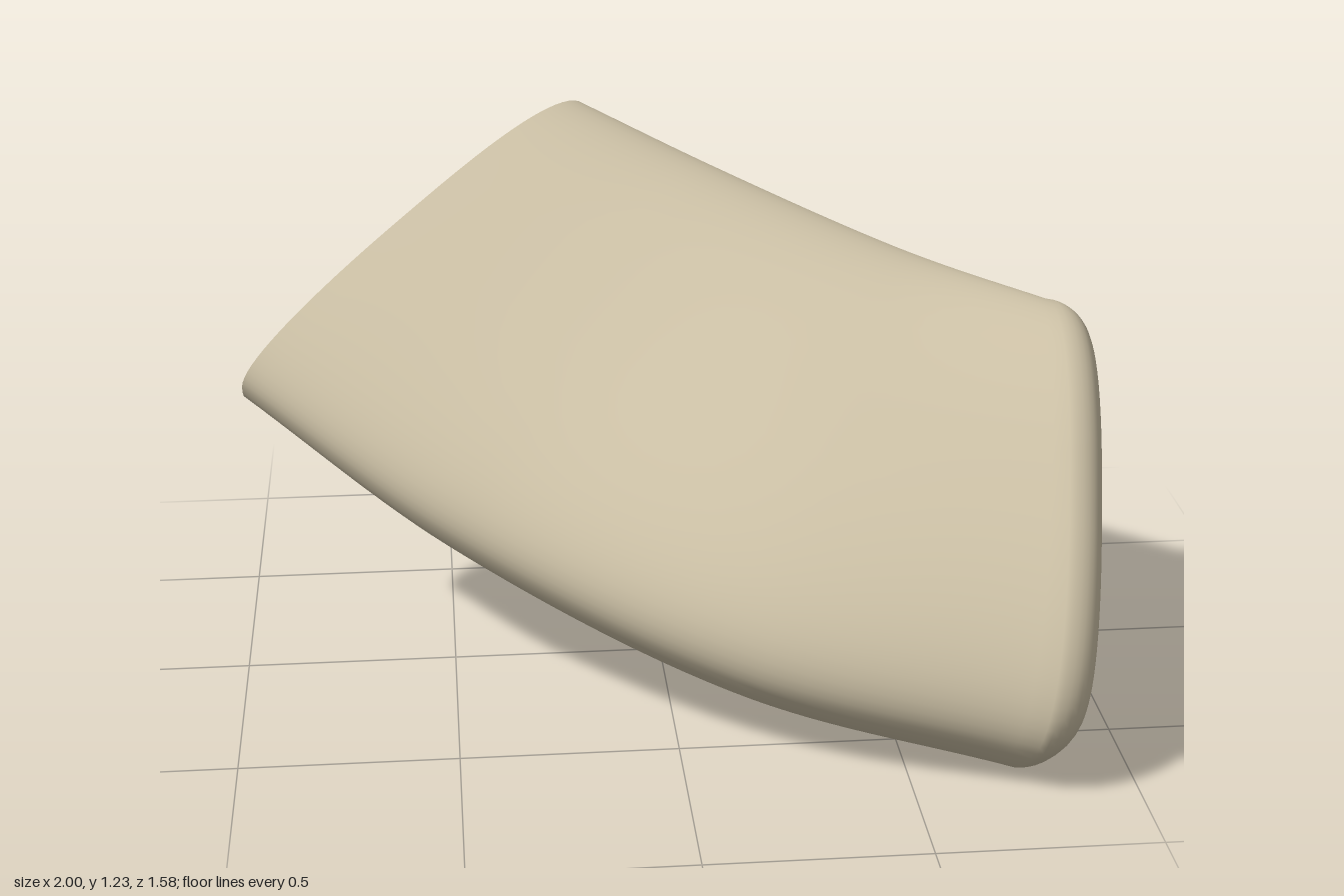
import * as THREE from 'three';

const V = (x, y, z) => new THREE.Vector3(x, y, z);
const SIDES = 72;

// Stations from the hollow end to the closed end: lower edge, upper edge, half thickness
const lowerEdge = new THREE.CatmullRomCurve3([
  V(-0.99, 0.635, -0.21), V(-0.5, 0.37, 0.13), V(0.15, 0.16, 0.53), V(0.75, 0.06, 0.735)]);
const upperEdge = new THREE.CatmullRomCurve3([
  V(-0.12, 1.15, -0.71), V(0.2, 1.02, -0.55), V(0.6, 0.88, -0.33), V(0.9, 0.82, -0.12)]);
const thickness = new THREE.CatmullRomCurve3([
  V(-0.01, 0.16, 0.135), V(-0.01, 0.18, 0.165), V(0, 0.19, 0.19), V(0, 0.18, 0.18)]);

function station(s) {
  const a = lowerEdge.getPoint(s), b = upperEdge.getPoint(s), t = thickness.getPoint(s);
  const w = b.clone().sub(a).multiplyScalar(0.5);
  return {
    c: a.add(b).multiplyScalar(0.5), w, t, s,
    axis: w.clone().cross(t).normalize(),
    taper: 0.22 - 0.14 * s,
  };
}

// Rounded cross-section, thicker toward the upper edge
function ring(st, scaleW = 1, scaleT = 1, shift = 0, lift = 0) {
  const pts = [];
  const pow = (v) => Math.sign(v) * Math.abs(v) ** 0.78;
  for (let j = 0; j < SIDES; j++) {
    const q = (j / SIDES) * Math.PI * 2;
    const u = pow(Math.cos(q)), v = pow(Math.sin(q)) * (1 + st.taper * u);
    // small ragged tear on the rim by the upper corner
    const d = Math.atan2(Math.sin(q + 0.35), Math.cos(q + 0.35));
    const tear = 0.025 * Math.sin(d * 14) * Math.exp(-d * d * 8 - st.s * 30);
    // rim reaches further out at the lower back corner
    const reach = 0.06 * Math.max(0, -Math.sin(q)) * Math.exp(-(((u + 0.75) / 0.3) ** 2) - st.s * 8);
    // closed end leans forward
    const lean = 0.05 * st.s ** 3 * v * scaleT;
    pts.push(st.c.clone().addScaledVector(st.w, u * scaleW)
      .addScaledVector(st.t, v * scaleT + lift)
      .addScaledVector(st.axis, shift + lean + (tear - reach) * scaleW ** 6));
  }
  return pts;
}

// Skin a list of closed rings
function loft(rings) {
  const pos = rings.flat().flatMap((p) => [p.x, p.y, p.z]);
  const idx = [];
  for (let i = 0; i < rings.length - 1; i++) {
    for (let j = 0; j < SIDES; j++) {
      const k = (j + 1) % SIDES;
      const a = i * SIDES + j, b = i * SIDES + k, c = b + SIDES, d = a + SIDES;
      idx.push(a, b, c, a, c, d);
    }
  }
  const g = new THREE.BufferGeometry();
  g.setAttribute('position', new THREE.Float32BufferAttribute(pos, 3));
  g.setIndex(idx);
  g.computeVertexNormals();
  return g;
}

export function createModel() {
  const group = new THREE.Group();
  group.name = 'hollowSlab';
  const tan = new THREE.MeshStandardMaterial({ color: 0xd6caae, side: THREE.DoubleSide });
  tan.name = 'tan';

  // Body, then the closed end, rounded more at the back than at the front
  const body = [];
  for (let i = 0; i <= 40; i++) body.push(ring(station(i / 40)));
  const end = station(1), r = 0.11;
  const lw = end.w.length(), lt = end.t.length();
  for (let i = 1; i <= 10; i++) {
    const f = (i / 10) * Math.PI / 2, inset = 1 - Math.cos(f);
    body.push(ring(end, 1 - 0.12 * inset / lw, 1 - 0.14 * inset / lt, r * Math.sin(f), 0.05 * inset / lt));
  }
  for (const k of [0.85, 0.65, 0.4, 0.15, 0.001]) {
    body.push(ring(end, k * (1 - 0.12 / lw), k * (1 - 0.14 / lt), r + 0.02 * (1 - k * k), 0.05 / lt));
  }
  const shell = new THREE.Mesh(loft(body), tan);
  shell.name = 'outerShell';

  // Shallow dish in the hollow end
  const mouth = station(0);
  const dish = [[0.001, 0.12], [0.25, 0.115], [0.5, 0.1], [0.7, 0.075], [0.85, 0.045], [0.94, 0.015], [1, 0]]
    .map(([k, depth]) => ring(mouth, k, k, depth));
  const hollow = new THREE.Mesh(loft(dish), tan);
  hollow.name = 'hollowEnd';

  group.add(shell, hollow);
  return group;
}
